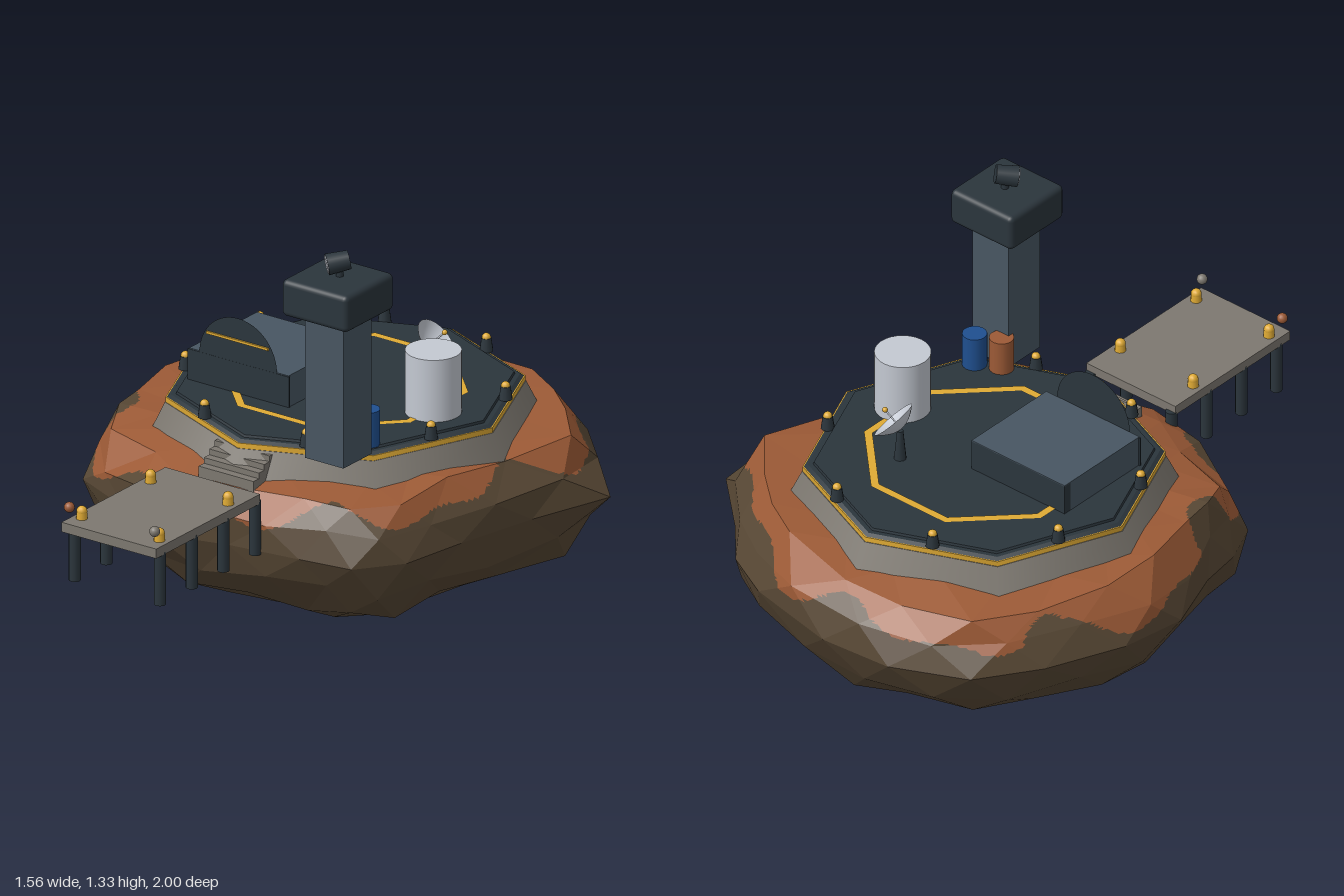
import * as THREE from 'three';
import { RoundedBoxGeometry } from 'three/addons/geometries/RoundedBoxGeometry.js';

const mat = (name, color, side = THREE.FrontSide) => {
  const m = new THREE.MeshStandardMaterial({ color, side });
  m.name = name;
  return m;
};

export function createModel() {
  const M = {
    rust: mat('rust soil', 0x9c5a36),
    brown: mat('brown rock', 0x574734),
    grey: mat('concrete grey', 0x7d7870),
    yellow: mat('safety yellow', 0xdfaa34),
    dark: mat('dark steel', 0x2b353c, THREE.DoubleSide),
    slate: mat('slate steel', 0x485662),
    white: mat('pale metal', 0xc4c9d2, THREE.DoubleSide),
    blue: mat('drum blue', 0x1f4f8f),
  };
  const root = new THREE.Group();
  const add = (name, geo, m, x = 0, y = 0, z = 0, parent = root) => {
    const mesh = new THREE.Mesh(geo, m);
    mesh.name = name;
    mesh.position.set(x, y, z);
    parent.add(mesh);
    return mesh;
  };
  const box = (name, m, x0, x1, y0, y1, z0, z1) =>
    add(name, new THREE.BoxGeometry(x1 - x0, y1 - y0, z1 - z0), m,
      (x0 + x1) / 2, (y0 + y1) / 2, (z0 + z1) / 2);
  // upright cylinder or cone standing on y0
  const cyl = (name, m, x, z, y0, y1, rTop, rBot = rTop, seg = 16, parent = root) =>
    add(name, new THREE.CylinderGeometry(rTop, rBot, y1 - y0, seg), m, x, (y0 + y1) / 2, z, parent);
  const CX = -0.015, CZ = -0.233;

  // ---- Floating rock: one outline scaled through staggered rings, faceted ----
  let seed = 7;
  const rnd = () => ((seed = (seed * 16807) % 2147483647) / 2147483647) * 2 - 1;
  const outline = [
    [-0.02, -1], [-0.26, -0.97], [-0.5, -0.86], [-0.64, -0.67], [-0.75, -0.42], [-0.78, -0.19],
    [-0.7, 0.03], [-0.68, 0.17], [-0.62, 0.31], [-0.39, 0.41], [-0.2, 0.52], [0.05, 0.47],
    [0.3, 0.44], [0.47, 0.4], [0.58, 0.26], [0.63, 0.04], [0.69, -0.24], [0.775, -0.53],
    [0.59, -0.7], [0.47, -0.84], [0.3, -0.93]];
  const N = outline.length;
  const profile = [[0, 0.55], [0.72, 0.55], [0.88, 0.535], [0.975, 0.45], [1, 0.36],
    [0.955, 0.25], [0.81, 0.135], [0.54, 0.06], [0.25, 0.012], [0, 0]];
  const last = profile.length - 1;
  const rings = profile.map(([s, y], i) => outline.map(([x0, z0], j) => {
    const [x1, z1] = outline[(j + 1) % N];
    const h = i % 2 ? 0.5 : 0;
    const amount = s === 0 ? 0 : i === 1 || i === 4 ? 0.25 : 1;
    const f = s + rnd() * 0.025 * amount;
    const keel = i > 7 ? 0.09 : 0;
    return new THREE.Vector3(
      CX + (x0 + (x1 - x0) * h - CX) * f + keel,
      Math.max(0, y + rnd() * 0.024 * amount),
      CZ + (z0 + (z1 - z0) * h - CZ) * f + keel);
  }));
  const soil = [], stone = [];
  const isSoil = (p) => {
    const a = Math.atan2(p.z - CZ, p.x - CX);
    const r = Math.hypot(p.x - CX, p.z - CZ);
    const drip = 0.465 + 0.03 * Math.cos(a) + 0.028 * Math.sin(a * 7 + 1) + 0.022 * Math.sin(a * 12 + 2);
    const patch = Math.sin(p.x * 9 + 1.3) * Math.sin(p.z * 8 + 0.6) > 0.66 && r > 0.62;
    return p.y > drip && !patch;
  };
  // split each flat facet finely so the soil edge runs smoothly across it
  const facet = (a, b, c) => {
    const n = 12;
    const at = (i, j) => a.clone().multiplyScalar((n - i - j) / n)
      .addScaledVector(b, i / n).addScaledVector(c, j / n);
    const put = (...t) => {
      const mid = t[0].clone().add(t[1]).add(t[2]).divideScalar(3);
      const list = isSoil(mid) ? soil : stone;
      t.forEach((p) => list.push(p.x, p.y, p.z));
    };
    for (let i = 0; i < n; i++) for (let j = 0; j < n - i; j++) {
      put(at(i, j), at(i + 1, j), at(i, j + 1));
      if (i + j < n - 1) put(at(i + 1, j), at(i + 1, j + 1), at(i, j + 1));
    }
  };
  for (let i = 0; i < last; i++) for (let j = 0; j < N; j++) {
    const k = (j + 1) % N;
    const [A, B, C, D] = [rings[i][j], rings[i + 1][j], rings[i + 1][k], rings[i][k]];
    if (i % 2) {
      facet(A, B, C);
      facet(A, C, D);
    } else {
      if (i > 0) facet(A, B, D);
      if (i < last - 1) facet(B, C, D);
    }
  }
  const fromList = (list) => {
    const g = new THREE.BufferGeometry();
    g.setAttribute('position', new THREE.Float32BufferAttribute(list, 3));
    g.computeVertexNormals();
    return g;
  };
  add('rock', fromList(stone), M.brown);
  add('soilCap', fromList(soil), M.rust);

  // ---- Octagonal landing platform ----
  cyl('platformBase', M.grey, CX, CZ, 0.48, 0.62, 0.563, 0.632, 8);
  cyl('platformStripe', M.yellow, CX, CZ, 0.62, 0.637, 0.561, 0.561, 8);
  cyl('platformRim', M.dark, CX, CZ, 0.637, 0.645, 0.545, 0.557, 8);
  cyl('platformDeck', M.dark, CX, CZ, 0.64, 0.653, 0.526, 0.53, 8);
  const ring = add('landingMark', new THREE.RingGeometry(0.363, 0.39, 8, 1, Math.PI / 8), M.yellow, CX, 0.656, CZ);
  ring.rotation.x = -Math.PI / 2;
  for (let i = 0; i < 8; i++) {
    const a = (i + 0.5) * Math.PI / 4;
    const x = CX + 0.508 * Math.cos(a), z = CZ + 0.508 * Math.sin(a);
    cyl('deckLampBase', M.dark, x, z, 0.645, 0.688, 0.016, 0.022, 10);
    add('deckLamp', new THREE.SphereGeometry(0.0145, 12, 8), M.yellow, x, 0.689, z);
  }

  // ---- Steps from the platform down to the pier ----
  for (let i = 0; i < 4; i++)
    box('step', M.grey, -0.12, 0.09, 0.5, 0.555 + i * 0.019, 0.2, 0.39 - i * 0.028);

  // ---- Control tower ----
  box('towerShaft', M.slate, 0.24, 0.386, 0.65, 1.14, 0.178, 0.325);
  add('towerCabin', new RoundedBoxGeometry(0.252, 0.122, 0.252, 3, 0.018), M.dark, 0.313, 1.191, 0.255);
  cyl('searchlightMount', M.dark, 0.317, 0.25, 1.25, 1.29, 0.012);
  const search = new THREE.Group();
  search.name = 'searchlight';
  search.position.set(0.313, 1.298, 0.253);
  search.quaternion.setFromUnitVectors(new THREE.Vector3(0, 1, 0), new THREE.Vector3(-0.6, -0.15, 0.6).normalize());
  root.add(search);
  cyl('searchlightBody', M.dark, 0, 0, -0.035, 0.035, 0.034, 0.03, 16, search);
  cyl('searchlightLens', M.white, 0, 0, 0.035, 0.038, 0.029, 0.029, 16, search);

  // ---- Hangar with round front plate ----
  box('hangar', M.slate, -0.413, -0.034, 0.65, 0.755, -0.288, 0.034);
  box('hangarFront', M.dark, -0.418, -0.031, 0.65, 0.755, 0.034, 0.04);
  box('hangarBack', M.dark, -0.413, -0.034, 0.65, 0.755, -0.315, -0.288);
  box('hangarRoof', M.slate, -0.413, -0.034, 0.755, 0.758, -0.315, 0.038);
  add('hangarArch', new THREE.CircleGeometry(0.148, 40, 0, Math.PI), M.dark, -0.225, 0.755, 0.0395);
  box('archStripe', M.yellow, -0.343, -0.107, 0.826, 0.834, 0.041, 0.047);

  // ---- Storage tank and drums ----
  cyl('storageTank', M.white, 0.345, -0.2, 0.65, 0.86, 0.088, 0.088, 28);
  cyl('blueDrum', M.blue, 0.33, 0.122, 0.65, 0.768, 0.039);
  cyl('rustDrum', M.rust, 0.253, 0.16, 0.65, 0.768, 0.039);

  // ---- Dish antenna ----
  cyl('dishPost', M.dark, 0.17, -0.415, 0.65, 0.755, 0.01, 0.02, 10);
  const dish = new THREE.Group();
  dish.name = 'dishAntenna';
  dish.position.set(0.172, 0.757, -0.408);
  dish.quaternion.setFromUnitVectors(new THREE.Vector3(0, 1, 0), new THREE.Vector3(0.68, 0.7, -0.18).normalize());
  root.add(dish);
  const bowl = [];
  for (let i = 0; i <= 8; i++) bowl.push(new THREE.Vector2(0.075 * i / 8, 0.038 * (i / 8) ** 2));
  add('dishBowl', new THREE.LatheGeometry(bowl, 24), M.white, 0, 0, 0, dish);
  cyl('dishFeed', M.white, 0, 0, 0, 0.076, 0.003, 0.003, 6, dish);
  add('dishTip', new THREE.SphereGeometry(0.009, 10, 8), M.yellow, 0, 0.078, 0, dish);

  // ---- Pier ----
  box('pierDeck', M.grey, -0.197, 0.165, 0.523, 0.555, 0.458, 1);
  for (const side of [-1, 1]) {
    const at = (d) => -0.016 + side * d;
    for (const z of [0.46, 0.625, 0.79, 0.955]) cyl('pierPile', M.dark, at(0.163), z, 0.352, 0.53, 0.019, 0.019, 12);
    for (const z of [0.58, 0.938]) {
      cyl('pierBollard', M.yellow, at(0.148), z, 0.555, 0.583, 0.016, 0.018, 12);
      add('pierBollardCap', new THREE.SphereGeometry(0.017, 12, 8), M.yellow, at(0.148), 0.58, z);
    }
    add('pierBeacon', new THREE.SphereGeometry(0.017, 14, 10), side < 0 ? M.rust : M.grey, at(0.163), 0.604, 0.983);
  }
  return root;
}
